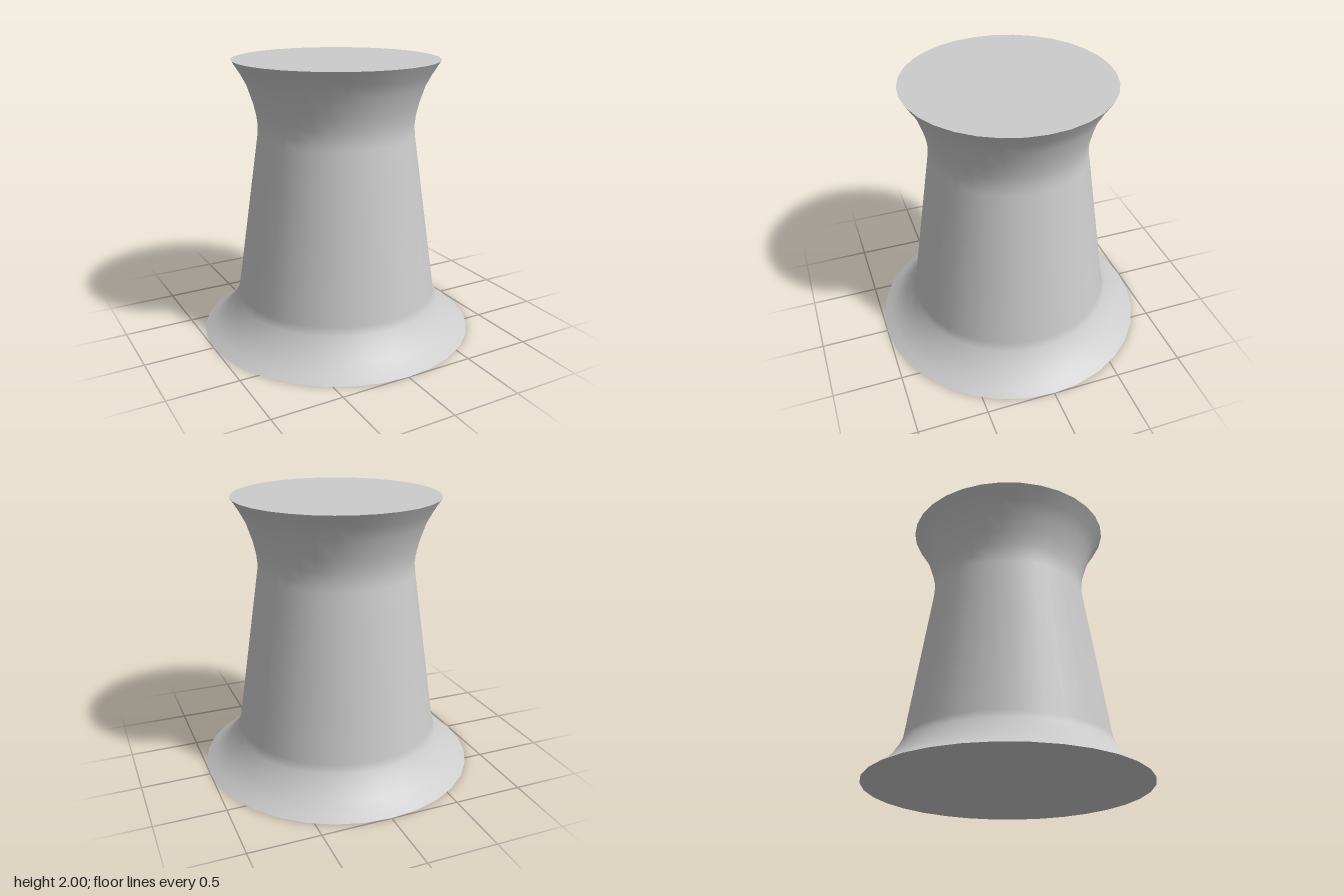
import * as THREE from 'three';

const SIDES = 32;

export function createModel() {
  const group = new THREE.Group();
  group.name = 'flaredPedestal';
  const material = new THREE.MeshStandardMaterial({ color: 0xcccccc });

  const add = (name, geometry) => {
    const mesh = new THREE.Mesh(geometry, material);
    mesh.name = name;
    group.add(mesh);
    return mesh;
  };

  // Outline: flared foot, straight tapering shaft, flared rim
  const profile = [
    [1, 0], [0.935, 0.04], [0.87, 0.09], [0.805, 0.165], [0.76, 0.235], [0.735, 0.29],
    [0.565, 1.46], [0.56, 1.53], [0.567, 1.6], [0.587, 1.69], [0.63, 1.82], [0.675, 1.905], [0.735, 2],
  ].map(([r, y]) => new THREE.Vector2(r, y));
  add('body', new THREE.LatheGeometry(profile, SIDES));

  // Flat end faces
  add('topFace', new THREE.CircleGeometry(0.735, SIDES).rotateX(-Math.PI / 2).translate(0, 2, 0));
  add('bottomFace', new THREE.CircleGeometry(1, SIDES).rotateX(Math.PI / 2));

  return group;
}
